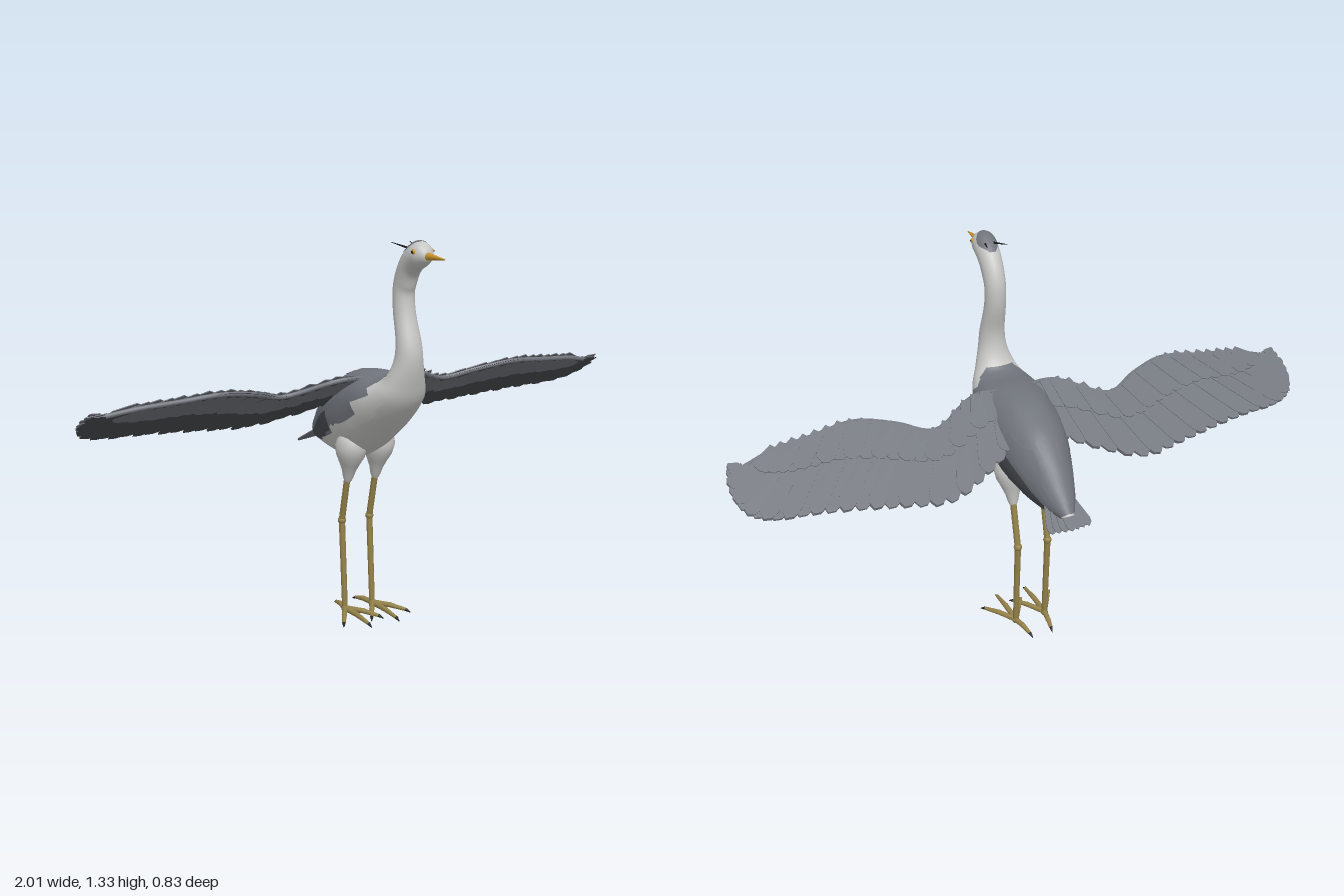
import * as THREE from 'three';
import { mergeGeometries, mergeVertices } from 'three/addons/utils/BufferGeometryUtils.js';

const colour = (name, hex, double) => {
  const m = new THREE.MeshStandardMaterial({ color: hex });
  m.name = name;
  if (double) m.side = THREE.DoubleSide;
  return m;
};
const V = (x, y, z) => new THREE.Vector3(x, y, z);
const V2 = (x, y) => new THREE.Vector2(x, y);

// Body sections from face to tail: under z, under y, upper z, upper y, half width
const sections = [
  [.335, 1.288, .335, 1.29, .002], [.325, 1.268, .325, 1.31, .022], [.3, 1.25, .305, 1.327, .036],
  [.27, 1.235, .27, 1.33, .04], [.248, 1.212, .222, 1.3, .039], [.235, 1.18, .18, 1.245, .037],
  [.226, 1.15, .158, 1.18, .036], [.235, 1.09, .16, 1.105, .037], [.262, 1, .183, 1.01, .043],
  [.266, .94, .178, .945, .05], [.252, .87, .15, .893, .07], [.225, .8, .11, .88, .095],
  [.16, .725, .03, .882, .115], [.08, .655, -.06, .868, .12], [.01, .605, -.13, .84, .118],
  [-.06, .57, -.2, .8, .108], [-.16, .56, -.28, .73, .082], [-.27, .568, -.345, .66, .052],
  [-.36, .583, -.39, .61, .02],
];
const N = sections.length - 1;
const curve = (f) => new THREE.CatmullRomCurve3(sections.map(f), false, 'catmullrom', .5);
const under = curve((s) => V(0, s[1], s[0]));
const upper = curve((s) => V(0, s[3], s[2]));
const width = curve((s) => V(s[4], 0, 0));

// Point on the body skin: i = section number, a = angle from the back, k = swelling
function skin(i, a, k = 1) {
  const t = Math.min(1, Math.max(0, i / N));
  const lo = under.getPoint(t), hi = upper.getPoint(t);
  const c = lo.clone().add(hi).multiplyScalar(.5);
  const p = c.clone().addScaledVector(hi.sub(c), Math.cos(a) * k);
  p.x = width.getPoint(t).x * Math.sin(a) * k;
  return p;
}

// Skin patch between sections i0 and i1; span(u) gives its two edge angles
function patch(i0, i1, span, k, nu, nv) {
  const pos = [], idx = [];
  for (let i = 0; i <= nu; i++) {
    const u = i / nu, [a0, a1] = span(u);
    for (let j = 0; j <= nv; j++) pos.push(...skin(i0 + (i1 - i0) * u, a0 + (a1 - a0) * j / nv, typeof k === 'function' ? k(u) : k));
  }
  for (let i = 0; i < nu; i++) for (let j = 0; j < nv; j++) {
    const a = i * (nv + 1) + j, c = a + nv + 1;
    idx.push(a, a + 1, c, a + 1, c + 1, c);
  }
  let g = new THREE.BufferGeometry();
  g.setAttribute('position', new THREE.Float32BufferAttribute(pos, 3));
  g.setIndex(idx);
  g = mergeVertices(g, 1e-5);
  g.computeVertexNormals();
  return g;
}
// Leaf shaped feather lying on the body
const bodyFeather = (i, a, len, half, k) =>
  patch(i, i + len, (u) => { const h = half * Math.sqrt(Math.max(0, 1 - u ** 3)); return [a - h, a + h]; }, (u) => k + .025 * u, 7, 4);

// Flat feather from one 2D point to another
function featherShape(from, to, w) {
  const d = to.clone().sub(from), n = V2(-d.y, d.x).normalize().multiplyScalar(w / 2);
  const at = (t, s) => from.clone().addScaledVector(d, t).addScaledVector(n, s);
  return new THREE.Shape([at(0, -.6), at(.82, -1), at(.94, -.7), at(1, 0), at(.94, .7), at(.82, 1), at(0, .6)]);
}
const plate = (shape, z, depth = .003) =>
  new THREE.ExtrudeGeometry(shape, { depth, bevelEnabled: false }).translate(0, 0, z);

// Tapered rod between two points
function rod(a, b, ra, rb) {
  const d = b.clone().sub(a);
  const g = new THREE.CylinderGeometry(rb, ra, d.length(), 12);
  g.applyQuaternion(new THREE.Quaternion().setFromUnitVectors(V(0, 1, 0), d.normalize()));
  return g.translate((a.x + b.x) / 2, (a.y + b.y) / 2, (a.z + b.z) / 2);
}

export function createModel() {
  const white = colour('pale plumage', 0xc6c6c4);
  const slate = colour('slate feathers', 0x70747b, true);
  const dark = colour('dark flight feathers', 0x484b50, true);
  const legMat = colour('olive legs', 0x94824a);
  const beakMat = colour('amber beak', 0xc9962e);
  const black = colour('black', 0x1c1c1e, true);
  const model = new THREE.Group();
  const add = (parent, name, geo, mat) => {
    const m = new THREE.Mesh(geo, mat);
    m.name = name;
    parent.add(m);
    return m;
  };

  // Head, neck and body in one skin
  add(model, 'body', patch(0, N, () => [-Math.PI, Math.PI], 1, 110, 32), white);
  add(model, 'headCap', patch(2.3, 4.3, (u) => { const h = .25 + .75 * Math.sin(Math.PI * u); return [-h, h]; }, 1.035, 12, 10), slate);

  // Grey mantle with a ragged lower edge
  add(model, 'mantle', patch(9.9, 17.9, (u) => {
    const h = .75 + .95 * Math.min(1, u * 2.2) + .1 * ((u * 9) % 1);
    return [-h, h];
  }, 1.035, 72, 24), slate);

  // Overlapping back feathers and pale breast scales
  const back = [], scales = [];
  for (let r = 0; r < 5; r++) for (let j = 0; j < 5; j++)
    back.push(bodyFeather(11.3 + r * 1.1, (j - 2) * .68 + (r % 2 ? .17 : -.17) * Math.sign(j - 2), 1.8, .36, 1.04));
  for (const s of [-1, 1]) {
    for (let r = 0; r < 3; r++) for (let j = 0; j < 4; j++)
      scales.push(bodyFeather(11 + r * .65, s * (1.3 + j * .25 + (r % 2) * .1), .95, .16, 1.005));
    add(model, 'flankFeathers', mergeGeometries([0, 1, 2].map((j) =>
      bodyFeather(14.6 + j * .7, s * (1.55 + j * .08), 2, .25, 1.06))), dark);
  }
  add(model, 'backFeathers', mergeGeometries(back), slate);
  add(model, 'breastScales', mergeGeometries(scales), white);

  // Tail fan
  const tail = new THREE.Group();
  tail.name = 'tail';
  tail.position.set(0, .64, -.29);
  tail.rotation.x = -2.13;
  const fan = [];
  for (let i = -3; i <= 3; i++)
    fan.push(plate(featherShape(V2(i * .012, 0), V2(i * .022, .142 - Math.abs(i) * .003), .034), -Math.abs(i) * .003));
  add(tail, 'tailFeathers', mergeGeometries(fan), slate);
  model.add(tail);

  // Beak
  add(model, 'beak', rod(V(0, 1.287, .32), V(0, 1.285, .42), .014, .0015), beakMat);

  // Wing outlines, seen from above as x and z, laid on a plane that slopes down to the rear
  const spline = (pts) => new THREE.SplineCurve(pts.map(([x, z]) => V2(x, z / .846)));
  const lead = spline([[.06, .05], [.16, .045], [.31, -.03], [.43, .015], [.56, .048], [.7, .03], [.83, .012], [.93, -.02]]);
  const trail = spline([[.08, -.13], [.2, -.2], [.35, -.258], [.5, -.24], [.64, -.218], [.78, -.2], [.9, -.19], [.97, -.16], [.995, -.1], [.985, -.03]]);
  const steps = Array.from({ length: 31 }, (_, i) => i / 30);
  const mix = (t, f) => lead.getPoint(t).lerp(trail.getPoint(t), f);

  for (const s of [1, -1]) {
    const wing = new THREE.Group();
    wing.name = s > 0 ? 'leftWing' : 'rightWing';
    wing.position.y = .838;
    wing.rotation.x = 1.008;
    wing.scale.x = s;
    model.add(wing);

    // Solid inner wing with a rounded leading edge
    const web = new THREE.Shape([...steps.map((t) => mix(t, 0)), ...steps.map((t) => mix(1 - t, .75))]);
    add(wing, 'wingWeb', plate(web, -.004, .004), slate);
    add(wing, 'wingUnderside', new THREE.ShapeGeometry(web).translate(0, 0, .002), dark);
    const edge = new THREE.CatmullRomCurve3(steps.map((t) => V(mix(t, .03).x, mix(t, .03).y, 0)));
    add(wing, 'leadingEdge', new THREE.TubeGeometry(edge, 40, .008, 8), slate);

    // Flight feathers and two rows of coverts
    const top = [], low = [], coverts = [], lining = [];
    for (let i = 0; i < 28; i++) {
      const t = i / 27, shape = featherShape(mix(t, .3), mix(t, 1), .058);
      top.push(plate(shape, -.006 - (i % 2) * .002));
      low.push(new THREE.ShapeGeometry(shape).translate(0, 0, .003 + (i % 2) * .003));
    }
    for (let i = 0; i < 20; i++) {
      const t = .08 + .77 * i / 19, shape = featherShape(mix(t, .03), mix(t, .45), .06);
      coverts.push(plate(shape, -.013 - (i % 2) * .002));
      lining.push(new THREE.ShapeGeometry(shape).translate(0, 0, .009 + (i % 2) * .002));
    }
    add(wing, 'flightFeathers', mergeGeometries(top), slate);
    add(wing, 'flightFeathersUnderside', mergeGeometries(low), dark);
    add(wing, 'coverts', mergeGeometries(coverts), slate);
    add(wing, 'wingLining', mergeGeometries(lining), slate);

    // Eye and crest plume
    const eye = add(model, 'eye', new THREE.SphereGeometry(.009, 14, 10), beakMat);
    eye.position.set(s * .032, 1.3, .298);
    const pupil = add(model, 'pupil', new THREE.SphereGeometry(.005, 10, 8), black);
    pupil.position.set(s * .0375, 1.3, .299);
    add(model, 'crestPlume', rod(V(s * .012, 1.305, .245), V(s * .035, 1.32, .172), .004, .0008), black);

    // Feathered thigh
    const profile = [[.012, .485], [.018, .5], [.024, .525], [.036, .555], [.05, .585], [.056, .62], [.045, .66], [.001, .69]];
    const thigh = add(model, 'thigh', new THREE.LatheGeometry(profile.map(([r, y]) => V2(r, y - .49)), 24), white);
    thigh.position.set(s * .055, .49, -.07);
    thigh.rotation.x = .2;

    // Leg with knee
    const x = s * .056, knee = V(x, .335, -.11), foot = V(x, .016, -.092);
    add(model, 'upperLeg', rod(V(x, .52, -.066), knee, .011, .011), legMat);
    add(model, 'lowerLeg', rod(knee, foot, .011, .01), legMat);
    add(model, 'knee', new THREE.SphereGeometry(.0145, 14, 10).translate(...knee), legMat);
    add(model, 'ankle', new THREE.SphereGeometry(.013, 14, 10).translate(x, .014, -.092), legMat);

    // Three front toes and one hind toe, each with a claw
    for (const [dx, z] of [[0, .07], [.07, .02], [-.07, .02], [-.015 * s, -.178]]) {
      const mid = V(x + dx * .55, .017, -.092 + (z + .092) * .55), tip = V(x + dx, .01, z);
      const end = tip.clone().add(tip.clone().sub(mid).setLength(.02)).setY(.002);
      add(model, 'toe', mergeGeometries([rod(foot, mid, .01, .009), rod(mid, tip, .009, .006),
        new THREE.SphereGeometry(.0095, 10, 8).translate(...mid)]), legMat);
      add(model, 'claw', rod(tip, end, .006, .001), black);
    }
  }
  return model;
}
